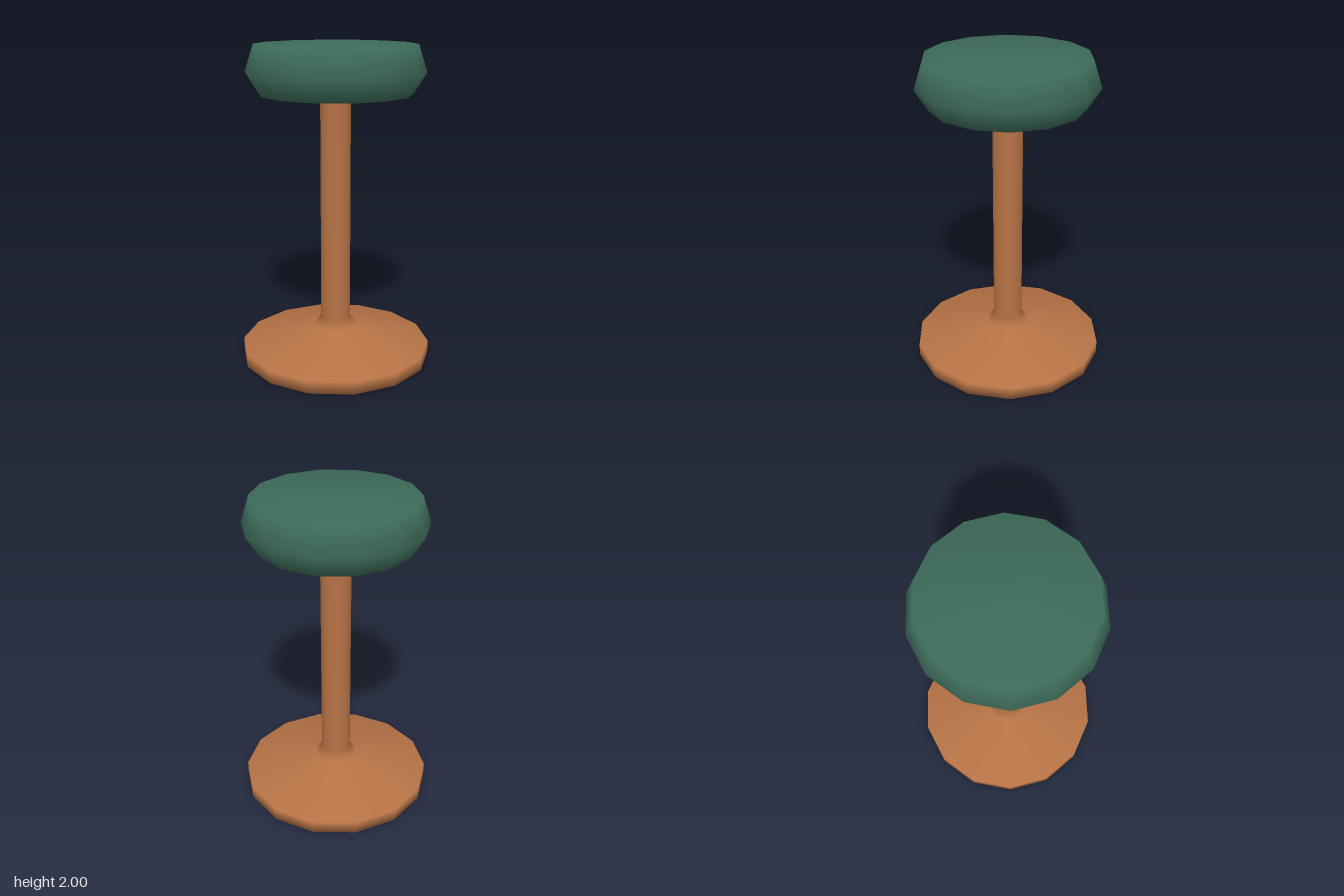
import * as THREE from 'three';

const SIDES = 14;

// Smooth turned part; the quarter-turn start puts a corner on +x
function turned(name, color, profile) {
  const points = profile.map(([r, y]) => new THREE.Vector2(r, y));
  const geometry = new THREE.LatheGeometry(points, SIDES, Math.PI / 2);
  const mesh = new THREE.Mesh(geometry, new THREE.MeshStandardMaterial({ color }));
  mesh.name = name;
  return mesh;
}

export function createModel() {
  const stool = new THREE.Group();
  stool.name = 'barStool';

  // Flared foot, collar and column in one turned piece
  stool.add(turned('pedestal', 0xb57245, [
    [0, 0], [0.6, 0], [0.6, 0.08], [0.135, 0.195], [0.093, 0.25], [0.093, 1.68],
  ]));

  // Padded seat with a slightly domed top
  stool.add(turned('seatCushion', 0x3c6a58, [
    [0, 1.68], [0.467, 1.68], [0.547, 1.81], [0.493, 1.975], [0, 2],
  ]));

  return stool;
}
